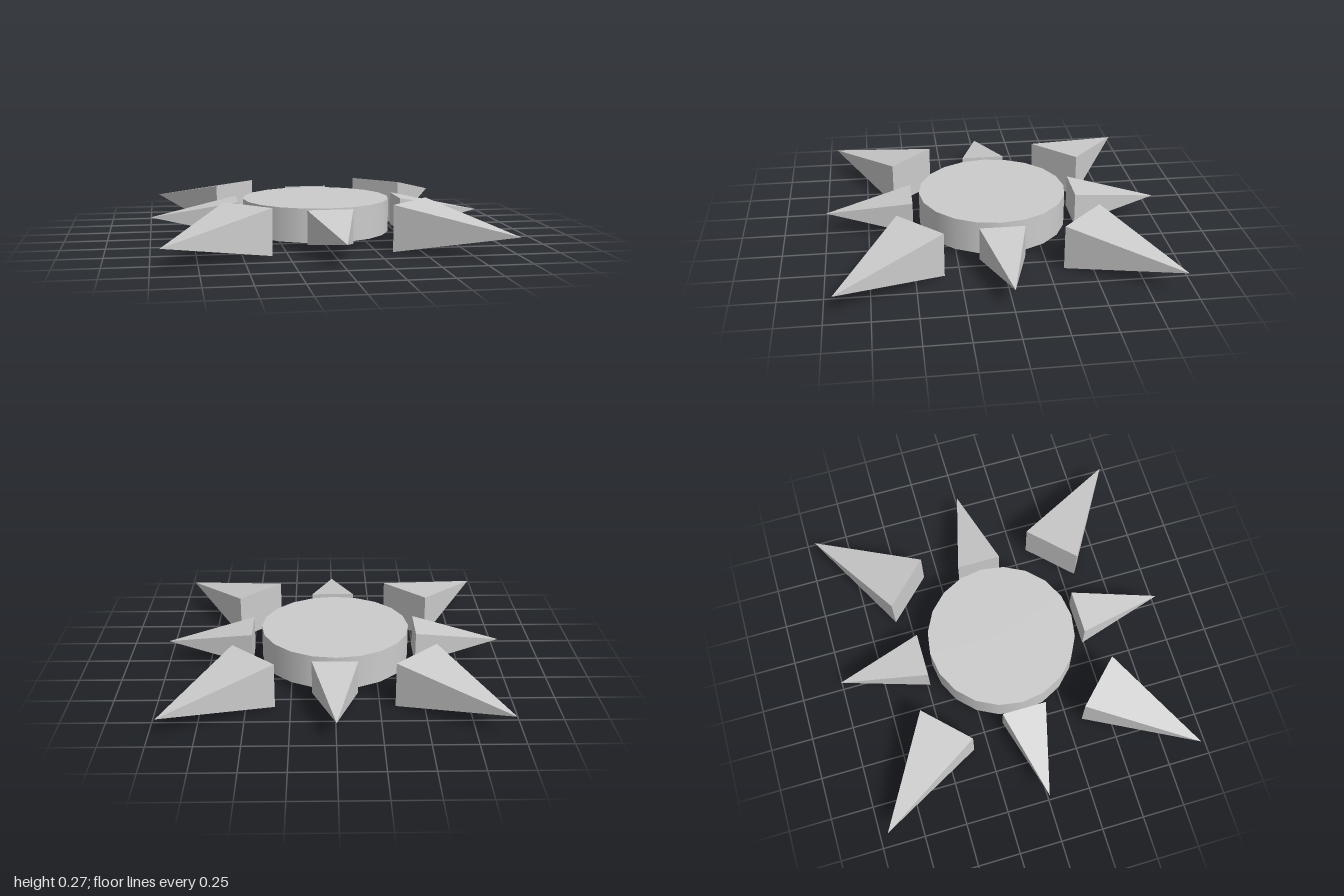
import * as THREE from 'three';

const MID = 0.135; // height of the horizontal symmetry plane

// Four-sided spike: rectangular base facing the disc, apex pointing to +z
function spikeGeometry(width, height, inner, outer) {
  const indexed = new THREE.ConeGeometry(Math.SQRT1_2, 1, 4, 1, false, Math.PI / 4);
  indexed.rotateX(Math.PI / 2);
  indexed.scale(width, height, outer - inner);
  indexed.translate(0, 0, (inner + outer) / 2);
  const geometry = indexed.toNonIndexed();
  geometry.computeVertexNormals();
  return geometry;
}

export function createModel() {
  const group = new THREE.Group();
  group.name = 'sun';
  const smooth = new THREE.MeshStandardMaterial({ color: 0xcccccc });
  const faceted = new THREE.MeshStandardMaterial({ color: 0xcccccc, flatShading: true });

  // Central disc, very slightly off centre
  const disc = new THREE.Mesh(new THREE.CylinderGeometry(0.44, 0.44, 0.197, 20), smooth);
  disc.name = 'disc';
  disc.position.set(-0.008, MID, 0);
  group.add(disc);

  // Eight rays: small ones on the axes, large ones on the diagonals
  const smallRay = spikeGeometry(0.262, 0.197, 0.485, 0.997);
  const largeRay = spikeGeometry(0.35, 0.266, 0.652, 1.337);
  for (let i = 0; i < 8; i++) {
    const large = i % 2 === 1;
    const ray = new THREE.Mesh(large ? largeRay : smallRay, faceted);
    ray.name = large ? 'largeRay' : 'smallRay';
    ray.position.y = MID;
    ray.rotation.y = (i * Math.PI) / 4;
    group.add(ray);
  }
  return group;
}
